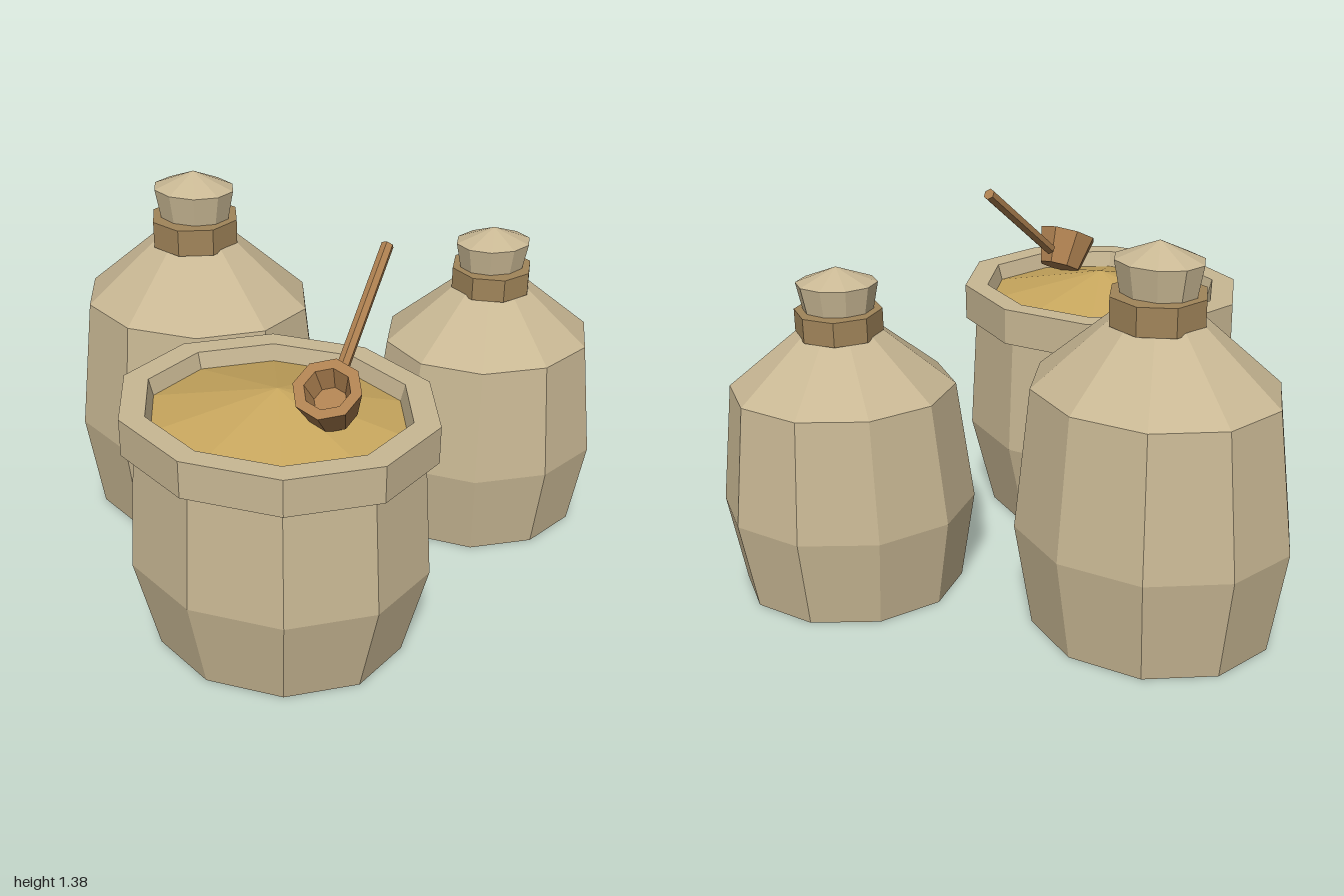
import * as THREE from 'three';

const mat = (color) => new THREE.MeshStandardMaterial({ color, flatShading: true });
const cloth = mat(0xc9b894);
const rope = mat(0xa1855a);
const grainMat = mat(0xc8a75e);
const wood = mat(0xad8050);

// Faceted turned shape with a corner on the x axis; profile runs [radius, y]
function turned(name, profile, sides, material, depth = 1) {
  const points = profile.map(([r, y]) => new THREE.Vector2(r, y));
  const geometry = new THREE.LatheGeometry(points, sides, Math.PI / 2);
  geometry.scale(1, 1, depth);
  const mesh = new THREE.Mesh(geometry, material);
  mesh.name = name;
  return mesh;
}

// Closed sack: barrel body, rope tie and flared tuft
function closedSack(name) {
  const sack = new THREE.Group();
  sack.name = name;
  sack.add(
    turned('sackBody', [[0, 0], [0.435, 0], [0.495, 0.38], [0.435, 0.885], [0.165, 1.12], [0, 1.13]], 10, cloth, 0.863),
    turned('ropeTie', [[0, 1.11], [0.167, 1.11], [0.167, 1.21], [0, 1.21]], 8, rope),
    turned('sackTuft', [[0, 1.2], [0.132, 1.2], [0.155, 1.32], [0, 1.383]], 10, cloth, 0.82)
  );
  return sack;
}

// Open sack with a rolled rim and a mound of grain
function openSack() {
  const sack = new THREE.Group();
  sack.name = 'openSack';
  sack.add(
    turned('openSackBody', [[0, 0], [0.45, 0], [0.537, 0.35], [0.507, 0.8]], 10, cloth, 0.86),
    turned('rolledRim', [[0.44, 0.79], [0.55, 0.79], [0.55, 0.925], [0.46, 0.925], [0.44, 0.85]], 10, cloth, 0.855),
    turned('grain', [[0.446, 0.865], [0, 0.972]], 10, grainMat, 0.85)
  );
  return sack;
}

// Wooden scoop: tilted hollow cup and a thin handle
function scoop() {
  const group = new THREE.Group();
  group.name = 'scoop';

  const cup = turned('scoopCup', [[0, -0.135], [0.082, -0.135], [0.114, 0], [0.077, 0], [0.055, -0.08], [0, -0.08]], 8, wood);
  cup.position.set(0.277, 1.062, 0.577);
  cup.rotation.x = Math.PI / 6;

  const start = new THREE.Vector3(0.277, 1.04, 0.43);
  const end = new THREE.Vector3(0.325, 1.342, 0.058);
  const axis = end.clone().sub(start);
  const handle = new THREE.Mesh(new THREE.CylinderGeometry(0.022, 0.022, axis.length(), 6), wood);
  handle.name = 'scoopHandle';
  handle.position.copy(start).add(end).multiplyScalar(0.5);
  handle.quaternion.setFromUnitVectors(new THREE.Vector3(0, 1, 0), axis.normalize());

  group.add(cup, handle);
  return group;
}

export function createModel() {
  const model = new THREE.Group();
  model.name = 'grainSacks';

  const large = closedSack('largeSack');
  large.position.set(-0.507, 0, -0.285);

  const small = closedSack('smallSack');
  small.position.set(0.577, 0, -0.538);
  small.rotation.y = 0.52;
  small.scale.set(0.908, 0.868, 0.908);

  const open = openSack();
  open.position.set(0.075, 0, 0.468);

  model.add(large, small, open, scoop());
  return model;
}
